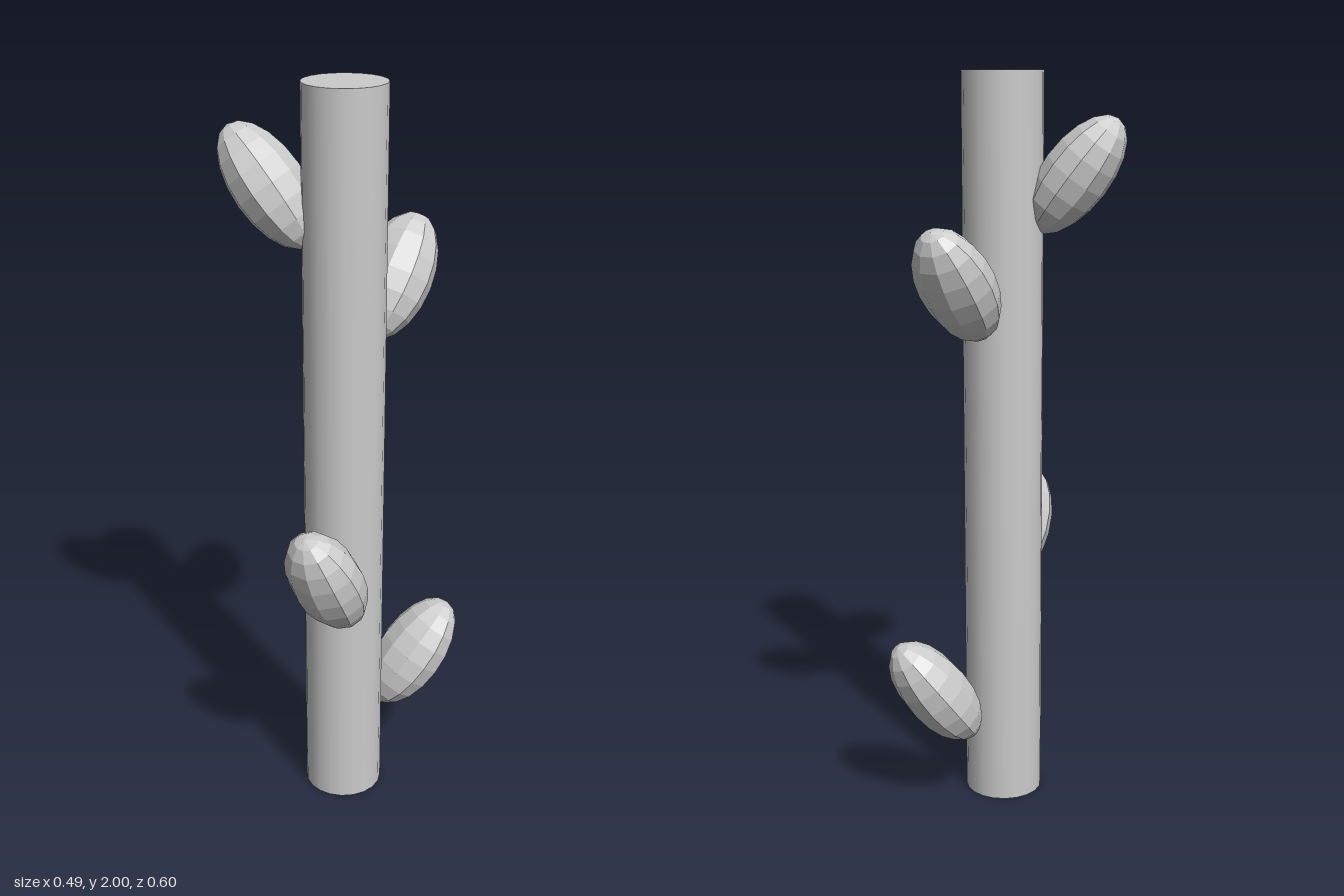
import * as THREE from 'three';

export function createModel() {
  const model = new THREE.Group();
  const smooth = new THREE.MeshStandardMaterial({ color: 0xcccccc });
  const faceted = new THREE.MeshStandardMaterial({ color: 0xcccccc, flatShading: true });

  // Straight stem
  const radius = 0.107;
  const stem = new THREE.Mesh(new THREE.CylinderGeometry(radius, radius, 2, 20), smooth);
  stem.name = 'stem';
  stem.position.set(0.058, 1, 0.043);
  model.add(stem);

  // Flattened oval pads, leaning outward from the stem
  const padGeometry = new THREE.SphereGeometry(1, 10, 10).scale(radius, 0.18, 0.091);
  const pads = [
    // position, yaw (0 faces the front), outward lean; angles in degrees
    { name: 'lowerBackPad', at: [0.136, 0.345, -0.176], yaw: 146, lean: 37 },
    { name: 'lowerFrontPad', at: [0.117, 0.732, 0.19], yaw: 0, lean: 29 },
    { name: 'upperBackPad', at: [0.058, 1.469, -0.167], yaw: 180, lean: 37 },
    { name: 'upperRightPad', at: [-0.117, 1.737, 0.124], yaw: -70, lean: 37 },
  ];
  for (const { name, at, yaw, lean } of pads) {
    const pad = new THREE.Mesh(padGeometry, faceted);
    pad.name = name;
    pad.position.set(...at);
    pad.rotation.set(THREE.MathUtils.degToRad(lean), THREE.MathUtils.degToRad(yaw), 0, 'YXZ');
    model.add(pad);
  }
  return model;
}
